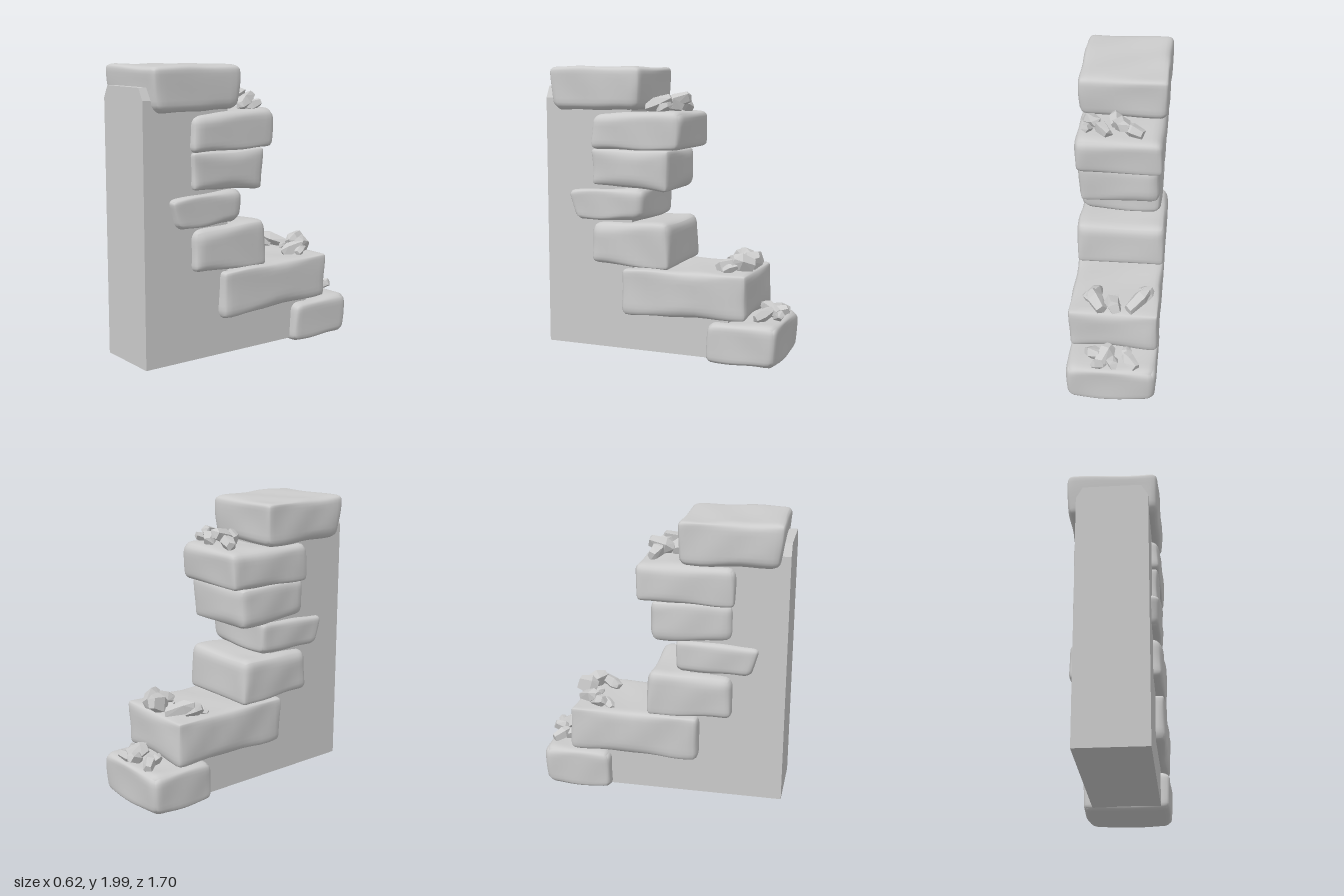
import * as THREE from 'three';
import { mergeVertices } from 'three/addons/utils/BufferGeometryUtils.js';
import { ConvexGeometry } from 'three/addons/geometries/ConvexGeometry.js';

const smooth = new THREE.MeshStandardMaterial({ color: 0xcccccc });
const flat = new THREE.MeshStandardMaterial({ color: 0xcccccc, flatShading: true });

// Small seeded generator, returns -1..1
function seeded(seed) {
  let s = seed * 7919 + 17;
  return () => {
    s = (s * 16807) % 2147483647;
    return (s / 2147483647) * 2 - 1;
  };
}

// Side profile corners as [z, y]: front top, front bottom, back bottom, back top; then x range
const STONES = [
  { c: [[-0.36, 0.3], [-0.34, 0.01], [-0.84, 0.01], [-0.85, 0.31]], x: [-0.31, 0.31] },
  { c: [[0.27, 0.625], [0.28, 0.285], [-0.65, 0.31], [-0.64, 0.635]], x: [-0.31, 0.31] },
  { c: [[0.5, 0.935], [0.5, 0.635], [-0.1, 0.62], [-0.09, 0.95]], x: [-0.315, 0.31] },
  { c: [[0.68, 1.15], [0.62, 0.93], [0.1, 0.94], [0.1, 1.18]], x: [-0.275, 0.3] },
  { c: [[0.5, 1.44], [0.5, 1.18], [-0.08, 1.14], [-0.085, 1.44]], x: [-0.275, 0.29] },
  { c: [[0.5, 1.69], [0.505, 1.42], [-0.16, 1.43], [-0.18, 1.7]], x: [-0.295, 0.3] },
  { c: [[0.815, 2.0], [0.79, 1.69], [0.12, 1.69], [0.115, 1.995]], x: [-0.305, 0.305] },
];

// Worn block: a box with uneven rounded edges and shallow dents, fitted to its side profile
function stoneGeometry({ c, x }, seed) {
  const rnd = seeded(seed);
  const ph = Array.from({ length: 6 }, () => rnd() * Math.PI);
  const [ft, fb, bb, bt] = c;
  const half = new THREE.Vector3(
    (x[1] - x[0]) / 2,
    (ft[1] + bt[1] - fb[1] - bb[1]) / 4,
    (ft[0] + fb[0] - bb[0] - bt[0]) / 4
  );
  const raw = new THREE.BoxGeometry(2, 2, 2, 16, 14, 16);
  raw.deleteAttribute('normal');
  raw.deleteAttribute('uv');
  const geo = mergeVertices(raw);
  const pos = geo.attributes.position;
  const p = new THREE.Vector3(), inner = new THREE.Vector3(), lim = new THREE.Vector3();
  const warp = (t) => Math.sin((t * Math.PI) / 2);
  for (let i = 0; i < pos.count; i++) {
    p.fromBufferAttribute(pos, i);
    p.set(warp(p.x), warp(p.y), warp(p.z)).multiply(half);
    // edge radius varies along the block
    const r = 0.058 + 0.022 * Math.sin(p.x * 8 + ph[0]) * Math.sin(p.z * 9 + ph[1]) - 0.015 * Math.sin(p.y * 12 + ph[2]);
    lim.copy(half).subScalar(r);
    inner.copy(p).clamp(lim.clone().negate(), lim);
    p.sub(inner).normalize().multiplyScalar(r);
    const dent = 0.006 * (1 + Math.sin(inner.x * 9 + inner.z * 7 + ph[3]) * Math.cos(inner.y * 13 - inner.z * 11 + ph[4]));
    p.multiplyScalar(1 - dent / r).add(inner);
    const v = (p.y / half.y + 1) / 2, u = (p.z / half.z + 1) / 2;
    const mix = (k) => (bb[k] * (1 - u) + fb[k] * u) * (1 - v) + (bt[k] * (1 - u) + ft[k] * u) * v;
    pos.setXYZ(i, (x[0] + x[1]) / 2 + p.x, mix(1), mix(0));
  }
  geo.computeVertexNormals();
  return geo;
}

// Rock chip: hull of three uneven rings, lying along its long axis
function chipGeometry(length, width, height, seed) {
  const rnd = seeded(seed);
  const pts = [];
  [[-0.5, 0.7], [0.15, 1], [0.5, 0.6]].forEach(([t, s]) => {
    for (let i = 0; i < 5; i++) {
      const a = (i / 5) * Math.PI * 2 + rnd() * 0.2;
      pts.push(new THREE.Vector3(
        Math.cos(a) * s * width / 2,
        Math.sin(a) * s * height / 2,
        (t + rnd() * 0.05) * length
      ));
    }
  });
  return new ConvexGeometry(pts);
}

// Rubble piles: ledge height, then chips as [x, z, length, width, height, yaw, lift]
const RUBBLE = [
  { y: 0.305, chips: [
    [-0.13, -0.76, 0.13, 0.09, 0.09, 0.8, 0.03], [-0.01, -0.79, 0.11, 0.09, 0.09, 0.3, 0.04],
    [0.04, -0.735, 0.15, 0.12, 0.1, -0.5, 0.06], [0.12, -0.71, 0.14, 0.1, 0.1, 0.9, 0.04],
    [-0.1, -0.69, 0.09, 0.08, 0.08, 0.1, 0.03], [0.08, -0.8, 0.1, 0.08, 0.08, -0.9, 0.03],
  ] },
  { y: 0.625, chips: [
    [-0.16, -0.52, 0.2, 0.11, 0.1, -0.7, 0.05], [-0.2, -0.38, 0.1, 0.07, 0.06, -0.9, 0.02],
    [-0.21, -0.45, 0.12, 0.1, 0.1, -0.6, 0.04], [0.0, -0.59, 0.13, 0.15, 0.12, 0.2, 0.06],
    [0.12, -0.56, 0.16, 0.13, 0.11, 0.6, 0.06], [0.14, -0.45, 0.16, 0.1, 0.09, -0.4, 0.04],
    [-0.02, -0.5, 0.08, 0.06, 0.05, 0.3, 0.02], [0.18, -0.49, 0.1, 0.08, 0.07, 0.5, 0.03],
  ] },
  { y: 1.69, chips: [
    [-0.09, -0.06, 0.13, 0.1, 0.1, 1.3, 0.04], [-0.01, -0.04, 0.17, 0.13, 0.11, 0.2, 0.07],
    [0.12, -0.05, 0.13, 0.12, 0.09, 0.8, 0.04], [0.2, 0.02, 0.18, 0.1, 0.1, 0.5, 0.06],
    [0.04, 0.07, 0.1, 0.13, 0.1, 0.1, 0.04], [0.22, -0.03, 0.1, 0.08, 0.08, -0.3, 0.03],
  ] },
];

function addMesh(parent, geo, mat, name) {
  const mesh = new THREE.Mesh(geo, mat);
  mesh.name = name;
  parent.add(mesh);
  return mesh;
}

export function createModel() {
  const model = new THREE.Group();
  model.name = 'brokenWallEnd';

  // Wall core: upright slab with bevelled top corners, and a low foot running back
  const outline = new THREE.Shape([
    [-0.235, 0.04], [0.24, 0.04], [0.24, 1.78], [0.195, 1.86], [-0.19, 1.86], [-0.235, 1.78],
  ].map(([x, y]) => new THREE.Vector2(x, y)));
  const slab = new THREE.ExtrudeGeometry(outline, { depth: 0.65, bevelEnabled: false });
  addMesh(model, slab.translate(0, 0, 0.2), flat, 'wallCore');
  const foot = new THREE.BoxGeometry(0.475, 0.54, 0.7);
  addMesh(model, foot.translate(0.0025, 0.31, -0.15), flat, 'wallFoot');

  // Stacked stones along the stepped edge
  const stones = new THREE.Group();
  stones.name = 'edgeStones';
  STONES.forEach((s, i) => addMesh(stones, stoneGeometry(s, i + 3), smooth, 'edgeStone' + (i + 1)));
  model.add(stones);

  // Loose rubble on the ledges
  RUBBLE.forEach(({ y, chips }, j) => {
    const pile = new THREE.Group();
    pile.name = 'rubblePile' + (j + 1);
    chips.forEach(([x, z, l, w, h, yaw, lift], i) => {
      const chip = addMesh(pile, chipGeometry(l, w, h, j * 20 + i + 1), flat, 'rubbleChip');
      chip.position.set(x, y + lift, z);
      chip.rotation.set(i % 2 ? 0.35 : -0.3, yaw, 0.4 * i, 'YXZ');
    });
    model.add(pile);
  });
  return model;
}
